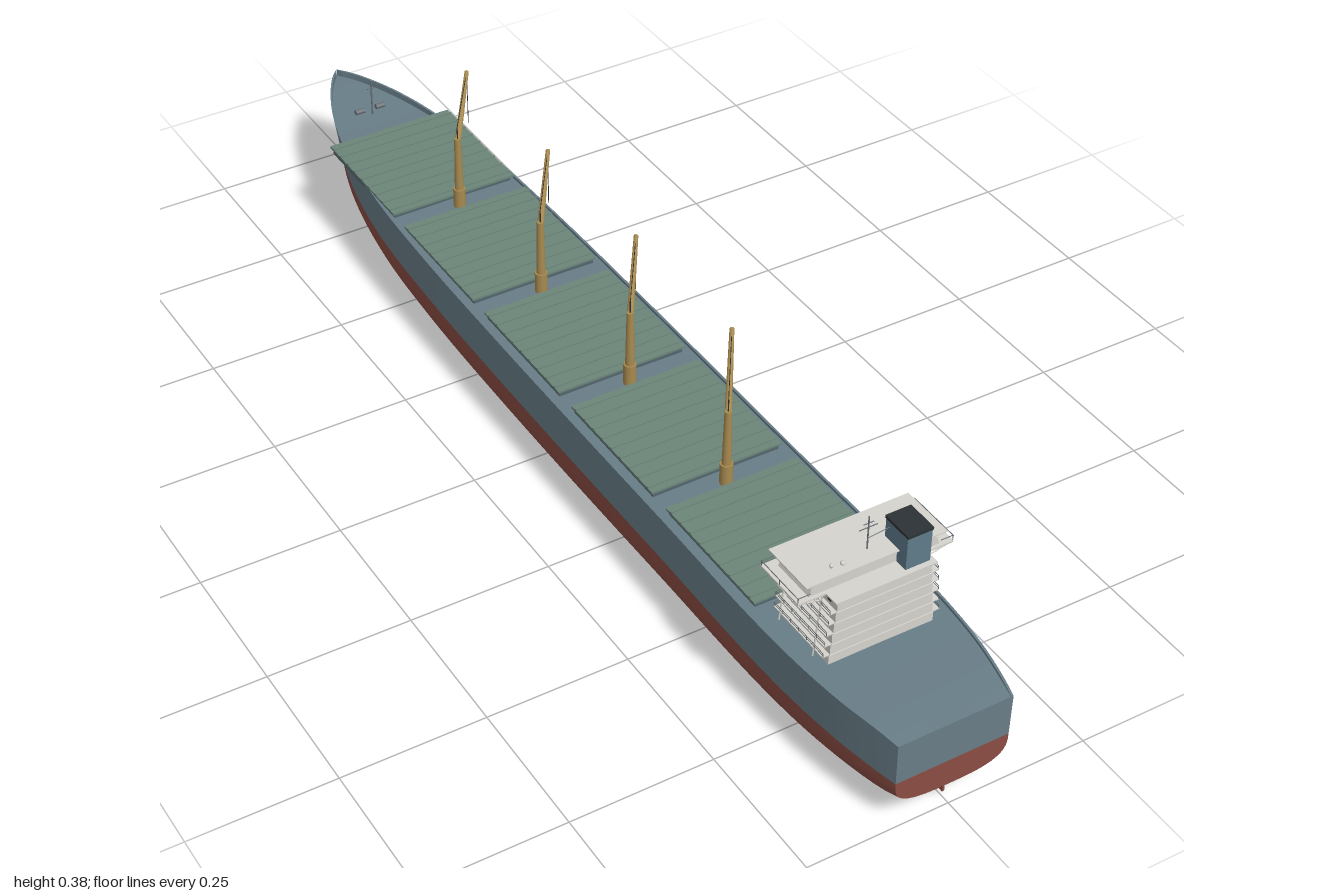
import * as THREE from 'three';
import { mergeGeometries, toCreasedNormals } from 'three/addons/utils/BufferGeometryUtils.js';

const mat = (color, side = THREE.FrontSide) => new THREE.MeshStandardMaterial({ color, side });
const hullBlue = mat(0x687d87), red = mat(0x8a4c42), green = mat(0x6c8579), white = mat(0xd6d3cd),
  ochre = mat(0xa88a50), dark = mat(0x2c3236), steel = mat(0x6a7075), coamingGrey = mat(0x55666e);

// Stations along the hull: z, deck half-breadth, waterline half-breadth, keel y, rail y, deck drop, fullness
const WL = 0.092;
const stations = [
  [-1, 0.001, 0.001, 0.08, 0.188, 0.012, 1.6],
  [-0.985, 0.015, 0.009, 0.036, 0.187, 0.012, 1.6],
  [-0.95, 0.037, 0.026, 0.022, 0.186, 0.012, 1.8],
  [-0.88, 0.069, 0.055, 0.014, 0.183, 0.012, 2.1],
  [-0.78, 0.098, 0.087, 0.009, 0.179, 0.010, 2.5],
  [-0.6, 0.124, 0.119, 0.005, 0.175, 0.006, 2.9],
  [-0.4, 0.134, 0.132, 0.002, 0.173, 0.005, 3.2],
  [-0.1, 0.138, 0.138, 0, 0.172, 0.005, 3.3],
  [0.4, 0.138, 0.138, 0.003, 0.172, 0.005, 3.3],
  [0.75, 0.137, 0.136, 0.011, 0.173, 0.005, 3.2],
  [0.88, 0.126, 0.124, 0.019, 0.174, 0.005, 3.1],
  [0.97, 0.109, 0.108, 0.031, 0.172, 0.004, 3.1],
  [1, 0.102, 0.101, 0.042, 0.168, 0.001, 3.1],
];
const spline = new THREE.CubicInterpolant(stations.map(s => s[0]), stations.flatMap(s => s.slice(1)), 6);
const zs = Array.from({ length: 81 }, (_, i) => -Math.cos(Math.PI * i / 80));
const at = z => Array.from(spline.evaluate(z));

// Skins cross-sections; section(z) lists [x, y] points
function loft(section, flip = false) {
  const pos = [], idx = [], n = section(0).length;
  zs.forEach(z => section(z).forEach(([x, y]) => pos.push(x, y, z)));
  for (let r = 0; r < zs.length - 1; r++) for (let c = 0; c < n - 1; c++) {
    const a = r * n + c, b = a + 1, d = a + n, e = d + 1;
    idx.push(...(flip ? [a, d, b, b, d, e] : [a, b, d, b, e, d]));
  }
  const g = new THREE.BufferGeometry();
  g.setAttribute('position', new THREE.Float32BufferAttribute(pos, 3));
  g.setIndex(idx);
  g.computeVertexNormals();
  return g;
}
const bottomSection = z => {
  const [, w, keel, , , p] = at(z), pts = [];
  for (let i = -14; i <= 14; i++) {
    const t = Math.abs(i / 14) * Math.PI / 2;
    pts.push([Math.sign(i) * w * Math.sin(t) ** (2 / p), keel + (WL - keel) * (1 - Math.max(0, Math.cos(t)) ** (2 / p))]);
  }
  return pts;
};
const sideSection = s => z => {
  const [b, w, , top] = at(z);
  const pts = [0, 0.33, 0.67, 1].map(t => [s * (w + (b - w) * t), WL + (top - WL) * t]);
  return s < 0 ? pts.reverse() : pts;
};
const deckSection = z => {
  const [b, , , top, drop] = at(z), i = Math.max(b - 0.004, b * 0.5), y = top - drop;
  return [[-b, top], [-i, top], [-i, y], [0, y + 0.001], [i, y], [i, top], [b, top]];
};

// Helpers for plain parts
function add(parent, name, geometry, material) {
  const m = new THREE.Mesh(geometry, material);
  m.name = name;
  parent.add(m);
  return m;
}
const box = (w, h, d, x, y, z) => new THREE.BoxGeometry(w, h, d).translate(x, y, z);
function rod(a, b, r0, r1 = r0, sides = 6) {
  const A = new THREE.Vector3(...a), B = new THREE.Vector3(...b), dir = B.clone().sub(A);
  const g = new THREE.CylinderGeometry(r1, r0, dir.length(), sides);
  g.applyQuaternion(new THREE.Quaternion().setFromUnitVectors(new THREE.Vector3(0, 1, 0), dir.normalize()));
  return g.translate(...A.add(B).multiplyScalar(0.5).toArray());
}
const cap = pts => new THREE.ShapeGeometry(new THREE.Shape(pts.map(p => new THREE.Vector2(...p)))).translate(0, 0, 1);

function buildHull() {
  const g = new THREE.Group();
  g.name = 'hull';
  add(g, 'hullBottom', loft(bottomSection), red);
  add(g, 'hullSides', mergeGeometries([loft(sideSection(-1)), loft(sideSection(1))]), hullBlue);
  add(g, 'deckAndBulwark', toCreasedNormals(loft(deckSection, true), 0.6), hullBlue);
  add(g, 'transomLower', cap(bottomSection(1)), red);
  add(g, 'transomUpper', cap([...sideSection(-1)(1), ...sideSection(1)(1)]), hullBlue);
  add(g, 'bulbousBow', new THREE.SphereGeometry(1, 20, 12).scale(0.013, 0.02, 0.035).translate(0, 0.05, -0.958), red);
  // Rudder and propeller under the stern
  add(g, 'rudder', box(0.004, 0.03, 0.022, 0, 0.027, 0.975), red);
  const blades = [0, 1, 2, 3].map(i => box(0.005, 0.013, 0.002, 0, 0.008, 0).rotateY(0.5)
    .rotateZ(i * Math.PI / 2).translate(0, 0.018, 0.953));
  add(g, 'propeller', mergeGeometries([...blades, rod([0, 0.018, 0.92], [0, 0.018, 0.96], 0.003)]), ochre);
  for (const s of [-1, 1]) {
    add(g, 'anchor', box(0.004, 0.012, 0.008, s * 0.091, 0.135, -0.8), dark);
    add(g, 'windlass', rod([s * 0.012, 0.178, -0.86], [s * 0.03, 0.178, -0.86], 0.005, 0.005, 10), steel);
  }
  add(g, 'foremast', mergeGeometries([rod([0, 0.17, -0.85], [0, 0.245, -0.85], 0.0015),
    rod([-0.008, 0.228, -0.85], [0.008, 0.228, -0.85], 0.0008)]), steel);
  return g;
}

function buildHatch(z0, z1) {
  const g = new THREE.Group(), d = z1 - z0, zc = (z0 + z1) / 2;
  g.name = 'cargoHatch';
  add(g, 'coaming', box(0.236, 0.012, d - 0.006, 0, 0.17, zc), coamingGrey);
  add(g, 'hatchCover', box(0.244, 0.004, d, 0, 0.178, zc), green);
  const ribs = [];
  for (let i = 0; i < 9; i++) ribs.push(box(0.244, 0.002, 0.004, 0, 0.181, z0 + d * (i + 0.5) / 9));
  add(g, 'coverRibs', mergeGeometries(ribs), green);
  return g;
}

function buildCrane(z) {
  const g = new THREE.Group(), tip = [0.095, 0.345, -0.14];
  g.name = 'deckCrane';
  g.position.z = z;
  add(g, 'cranePedestal', rod([0, 0.165, 0], [0, 0.207, 0], 0.011, 0.011, 12), ochre);
  add(g, 'cranePost', rod([0, 0.205, 0], [0, 0.312, 0], 0.008, 0.006, 12), ochre);
  add(g, 'jib', rod([0, 0.304, 0], tip, 0.006, 0.004, 8), ochre);
  add(g, 'rigging', mergeGeometries([rod([0, 0.31, 0], [0, 0.335, 0], 0.001), rod([0, 0.335, 0], tip, 0.0007, 0.0007, 4),
    rod(tip, [tip[0], 0.235, tip[2]], 0.0007, 0.0007, 4)]), dark);
  return g;
}

function buildAccommodation() {
  const g = new THREE.Group();
  g.name = 'accommodation';
  const walls = [], decks = [], rails = [], windows = [], h = 0.0203, y0 = 0.167;
  for (let i = 0; i < 6; i++) {
    const w = 0.094 - i * 0.002, y = y0 + i * h, e = w + 0.012;
    walls.push(box(w * 2, h, 0.12, 0, y + h / 2, 0.75));
    // Front and side windows
    for (let k = -4; k <= 4; k++) windows.push(box(0.009, 0.008, 0.002, k * 0.019, y + 0.012, 0.69));
    for (const s of [-1, 1]) {
      for (let k = 0; k < 5; k++) windows.push(box(0.002, 0.008, 0.009, s * w, y + 0.012, 0.71 + k * 0.02));
      if (!i) continue;
      // Side walkways with rails
      decks.push(box(0.014, 0.0015, 0.13, s * (e - 0.006), y, 0.745));
      for (const r of [0.004, 0.008]) rails.push(box(0.0008, 0.0008, 0.13, s * e, y + r, 0.745));
      for (let k = 0; k <= 6; k++) rails.push(box(0.0008, 0.008, 0.0008, s * e, y + 0.004, 0.68 + k * 0.0216));
    }
    if (!i) continue;
    decks.push(box(e * 2, 0.0015, 0.01, 0, y, 0.685));
    for (const r of [0.004, 0.008]) rails.push(box(e * 2, 0.0008, 0.0008, 0, y + r, 0.68));
    decks.push(box(w * 2 + 0.002, 0.001, 0.002, 0, y, 0.811));
  }
  add(g, 'houseWalls', mergeGeometries(walls), white);
  add(g, 'walkways', mergeGeometries(decks), white);
  add(g, 'windows', mergeGeometries(windows), dark);

  // Slanted wing supports
  const struts = [];
  for (const s of [-1, 1]) for (const z of [0.695, 0.785]) {
    struts.push(rod([s * 0.105, 0.172, z], [s * 0.094, 0.285, z], 0.0014));
    struts.push(rod([s * 0.092, 0.278, z], [s * 0.136, 0.288, z], 0.0012));
  }
  add(g, 'wingSupports', mergeGeometries(struts), white);

  // Bridge deck, wheelhouse and roof
  add(g, 'bridgeWings', mergeGeometries([box(0.276, 0.003, 0.1, 0, 0.2895, 0.738), box(0.18, 0.003, 0.135, 0, 0.2895, 0.7475)]), white);
  for (const s of [-1, 1]) {
    for (const z of [0.69, 0.738, 0.786]) rails.push(box(0.001, 0.01, 0.001, s * 0.1375, 0.295, z));
    rails.push(box(0.001, 0.001, 0.1, s * 0.1375, 0.3, 0.738));
    for (const z of [0.69, 0.786]) rails.push(box(0.022, 0.001, 0.001, s * 0.127, 0.3, z));
  }
  add(g, 'railings', mergeGeometries(rails), steel);
  const house = new THREE.Shape([[-0.116, 0], [0.116, 0], [0.112, 0.012], [0.104, 0.023], [-0.104, 0.023], [-0.112, 0.012]]
    .map(p => new THREE.Vector2(...p)));
  add(g, 'wheelhouse', new THREE.ExtrudeGeometry(house, { depth: 0.08, bevelEnabled: false }).translate(0, 0.291, 0.702), white);
  const panes = [];
  for (let k = -5; k <= 5; k++) panes.push(box(0.015, 0.01, 0.002, k * 0.0185, 0.303, 0.702));
  add(g, 'bridgeWindows', mergeGeometries(panes), dark);
  add(g, 'bridgeRoof', box(0.25, 0.002, 0.1, 0, 0.315, 0.738), white);

  // Funnel
  add(g, 'funnel', box(0.044, 0.063, 0.055, 0.0605, 0.321, 0.778), mat(0x5f7a8a));
  add(g, 'funnelCap', box(0.046, 0.005, 0.058, 0.0605, 0.3535, 0.778), dark);

  // Radar mast and domes
  const z = 0.76;
  add(g, 'radarMast', mergeGeometries([rod([0, 0.315, z], [0, 0.378, z], 0.0012),
    rod([-0.016, 0.357, z], [0.016, 0.357, z], 0.0009), rod([-0.009, 0.365, z], [0.009, 0.365, z], 0.0009),
    rod([0, 0.336, z], [0.04, 0.34, z], 0.0007)]), steel);
  for (const [x, y, r] of [[-0.07, 0.322, 0.0035], [-0.05, 0.318, 0.004]]) {
    add(g, 'antennaDome', new THREE.SphereGeometry(r, 12, 8).translate(x, y, 0.77), white);
    add(g, 'domeStand', rod([x, 0.314, 0.77], [x, y, 0.77], 0.0012), white);
  }
  return g;
}

export function createModel() {
  const ship = new THREE.Group();
  ship.name = 'bulkCarrier';
  ship.add(buildHull(), buildAccommodation());
  for (let i = 0; i < 5; i++) ship.add(buildHatch(-0.78 + i * 0.295, -0.527 + i * 0.295));
  for (let i = 0; i < 4; i++) ship.add(buildCrane(-0.505 + i * 0.296));
  return ship;
}
